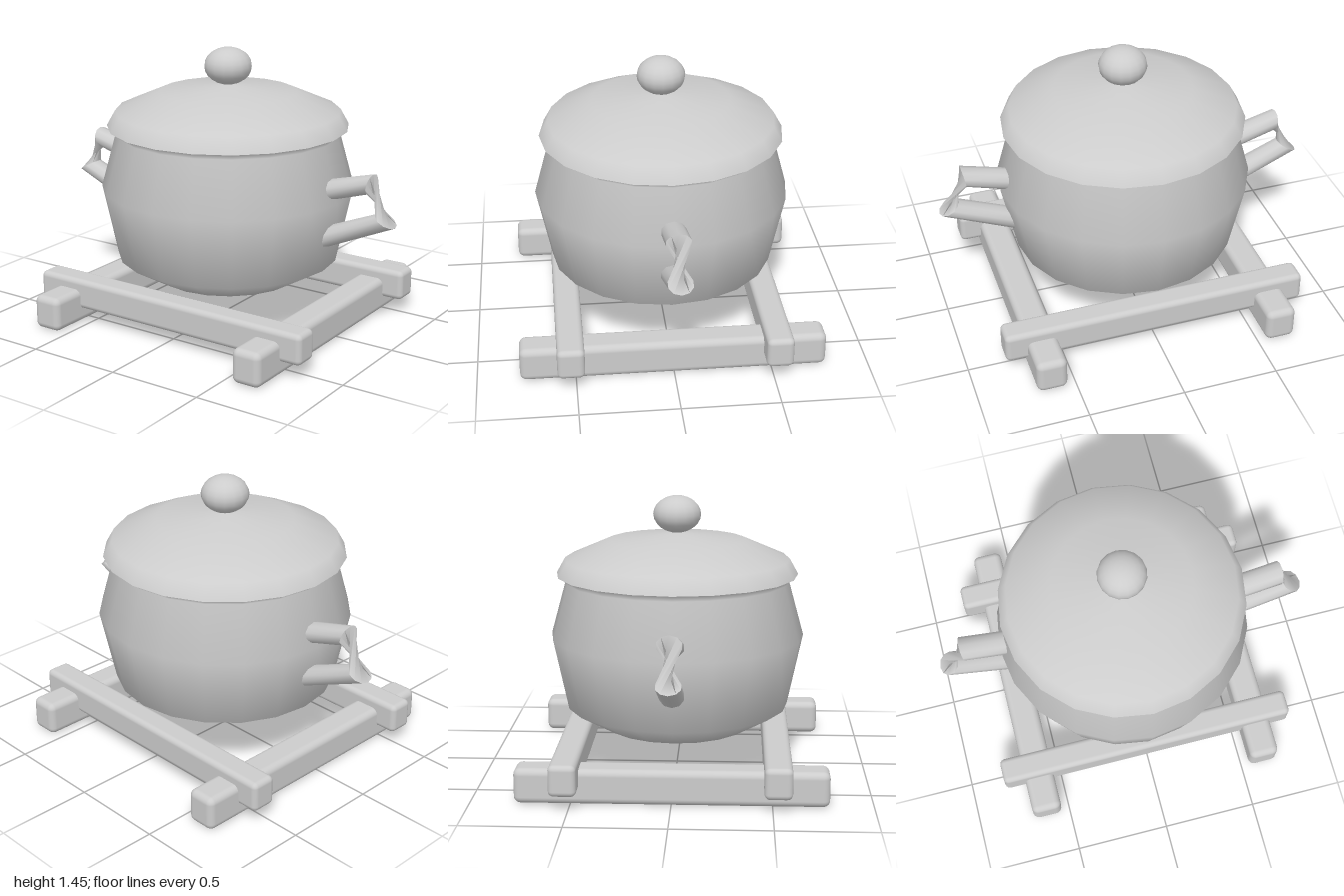
import * as THREE from 'three';
import { RoundedBoxGeometry } from 'three/addons/geometries/RoundedBoxGeometry.js';

const SIDES = 20;

// Round body turned from [radius, height] pairs, bottom to top
function turned(points) {
  return new THREE.LatheGeometry(points.map(([r, y]) => new THREE.Vector2(r, y)), SIDES);
}

// Tube section between two elliptical rings, each with a centre, an in-plane "up" half axis and a z half width
function section(a, b, sides = 10) {
  const pos = [], index = [];
  for (const ring of [a, b]) {
    for (let i = 0; i < sides; i++) {
      const t = (i / sides) * Math.PI * 2;
      pos.push(
        ring.c[0] + ring.u[0] * Math.cos(t),
        ring.c[1] + ring.u[1] * Math.cos(t),
        ring.w * Math.sin(t));
    }
  }
  for (let i = 0; i < sides; i++) {
    const j = (i + 1) % sides;
    index.push(i, i + sides, j, j, i + sides, j + sides);
  }
  const g = new THREE.BufferGeometry();
  g.setAttribute('position', new THREE.Float32BufferAttribute(pos, 3));
  g.setIndex(index);
  g.computeVertexNormals();
  return g;
}

export function createModel() {
  const model = new THREE.Group();
  model.name = 'potOnTrivet';
  const grey = new THREE.MeshStandardMaterial({ color: 0xcccccc, side: THREE.DoubleSide });
  grey.name = 'lightGrey';

  const add = (name, geometry, parent = model) => {
    const mesh = new THREE.Mesh(geometry, grey);
    mesh.name = name;
    parent.add(mesh);
    return mesh;
  };

  // Pot with flared rim, and its lid
  add('pot', turned([[0, 0.225], [0.39, 0.225], [0.588, 0.34], [0.667, 0.715], [0.587, 1.005], [0.628, 1.045]]));
  add('lid', turned([[0.635, 1.04], [0.59, 1.12], [0.36, 1.22], [0, 1.26]]));

  // Flattened ball on the lid
  const knob = add('lidKnob', new THREE.SphereGeometry(0.125, 16, 12));
  knob.scale.y = 0.78;
  knob.position.y = 1.352;

  // Handles: two arms joined by a section that twists half a turn
  const rings = [
    { c: [0.58, 0.774], u: [-0.012, 0.053], w: 0.064 },
    { c: [0.857, 0.852], u: [0.01, 0.053], w: 0.064 },
    { c: [0.943, 0.676], u: [-0.052, -0.029].map((v, i) => (i ? -v : v)), w: -0.064 },
    { c: [0.58, 0.522], u: [-0.012, 0.053], w: -0.064 },
  ];
  const parts = ['upperArm', 'twistedGrip', 'lowerArm'];
  for (const side of ['left', 'right']) {
    const handle = new THREE.Group();
    handle.name = side + 'Handle';
    parts.forEach((name, i) => add(name, section(rings[i], rings[i + 1]), handle));
    if (side === 'right') handle.rotation.y = Math.PI;
    model.add(handle);
  }

  // Trivet: two lower bars front to back, two upper bars side to side
  for (const s of [-1, 1]) {
    add('lowerBar', new RoundedBoxGeometry(0.16, 0.18, 1.565, 3, 0.035)).position.set(s * 0.622, 0.09, 0);
    add('upperBar', new RoundedBoxGeometry(1.63, 0.16, 0.138, 3, 0.028)).position.set(0, 0.156, s * 0.526);
  }
  return model;
}
